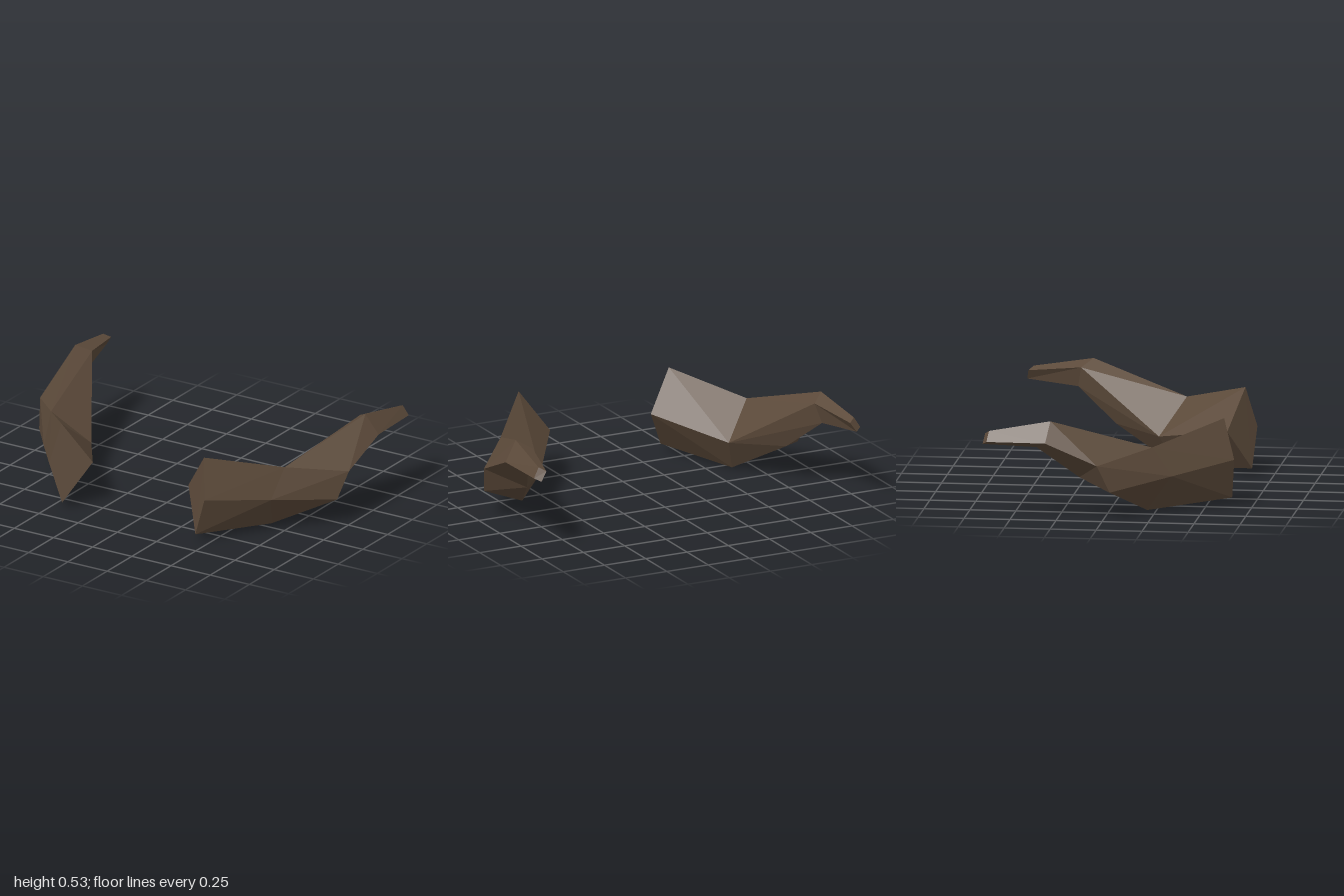
import * as THREE from 'three';

// Cross-sections of one horn, each ordered top, inner, bottom, outer
const base = [[0.455, 0.48, 0.595], [0.305, 0.26, 0.515], [0.425, 0.04, 0.635], [0.495, 0.26, 0.655]];
const bend = [[0.745, 0.365, 0.24], [0.57, 0.175, 0.11], [0.635, 0, 0.2], [0.725, 0.205, 0.345]];
const neck = [[0.925, 0.53, -0.29], [0.855, 0.49, -0.35], [0.89, 0.38, -0.37], [0.997, 0.42, -0.31]];
const tip = [[0.955, 0.475, -0.62], [0.92, 0.455, -0.645], [0.955, 0.403, -0.655], [0.988, 0.42, -0.63]];

// Extra corners that bulge out at the elbow
const elbowUnder = [0.785, 0.2, -0.15];
const elbowLow = [0.95, 0.15, 0.035];
const elbowHigh = [0.985, 0.3, -0.03];

// Four quads joining two cross-sections
function bridge(a, b) {
  return a.map((p, i) => {
    const j = (i + 1) % 4;
    return [p, b[i], b[j], a[j]];
  });
}

function hornFaces() {
  const [t1, i1, b1, o1] = bend;
  const [t3, i3, b3, o3] = neck;
  return [
    base,
    ...bridge(base, bend),
    // elbow
    [t1, t3, i3, i1],
    [i1, i3, b3, elbowUnder, b1],
    [b1, elbowUnder, elbowLow],
    [b1, elbowLow, o1],
    [elbowUnder, elbowHigh, elbowLow],
    [elbowUnder, b3, o3, elbowHigh],
    [o1, elbowLow, elbowHigh, t1],
    [elbowHigh, o3, t3, t1],
    ...bridge(neck, tip),
    [...tip].reverse(),
  ];
}

// Fan each face into triangles; side -1 mirrors the horn and flips the winding
function hornGeometry(side) {
  const pos = [];
  for (const face of hornFaces()) {
    for (let k = 1; k < face.length - 1; k++) {
      const tri = [face[0], face[k], face[k + 1]];
      if (side < 0) tri.reverse();
      for (const [x, y, z] of tri) pos.push(x * side, y, z);
    }
  }
  const geo = new THREE.BufferGeometry();
  geo.setAttribute('position', new THREE.Float32BufferAttribute(pos, 3));
  geo.computeVertexNormals();
  return geo;
}

export function createModel() {
  const group = new THREE.Group();
  group.name = 'hornPair';
  const horn = new THREE.MeshStandardMaterial({ color: 0x5c4a3a, flatShading: true });
  horn.name = 'hornBrown';
  for (const [side, name] of [[1, 'leftHorn'], [-1, 'rightHorn']]) {
    const mesh = new THREE.Mesh(hornGeometry(side), horn);
    mesh.name = name;
    group.add(mesh);
  }
  return group;
}
